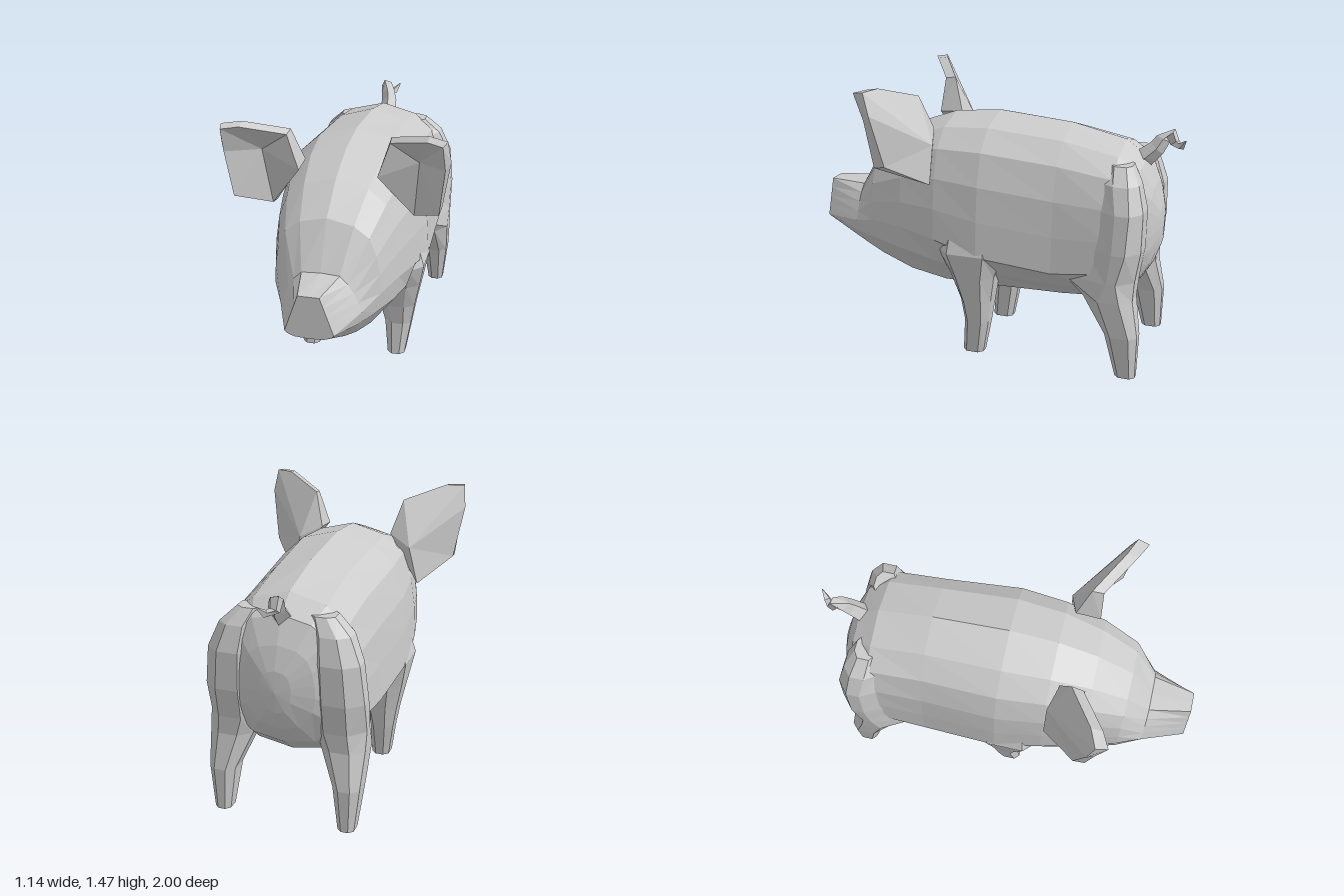
import * as THREE from 'three';

const material = new THREE.MeshStandardMaterial({ color: 0xcccccc, flatShading: true, side: THREE.DoubleSide });

// Skins equal-length rings of [x, y, z] points, closing each end with a fan to a hub point
function loft(name, rings, startHub, endHub) {
  const n = rings[0].length, tris = [];
  const mean = (r) => [0, 1, 2].map((k) => r.reduce((s, p) => s + p[k], 0) / n);
  const first = rings[0], last = rings[rings.length - 1];
  const a = startHub || mean(first), b = endHub || mean(last);
  for (let i = 0; i < n; i++) {
    const j = (i + 1) % n;
    tris.push([a, first[j], first[i]], [b, last[i], last[j]]);
    for (let r = 0; r + 1 < rings.length; r++) {
      const p = rings[r], q = rings[r + 1];
      tris.push([p[i], p[j], q[j]], [p[i], q[j], q[i]]);
    }
  }
  // Turn the faces outward using the signed volume
  const v = (p) => new THREE.Vector3(...p);
  const volume = tris.reduce((s, t) => s + v(t[0]).dot(v(t[1]).cross(v(t[2]))), 0);
  if (volume < 0) tris.forEach((t) => t.reverse());
  const geometry = new THREE.BufferGeometry();
  geometry.setAttribute('position', new THREE.Float32BufferAttribute(tris.flat(2), 3));
  geometry.computeVertexNormals();
  const mesh = new THREE.Mesh(geometry, material);
  mesh.name = name;
  return mesh;
}

// Half outlines for the body and head, stretched to each station along z
const roundHalf = [[0, 1], [0.5, 0.92], [0.78, 0.77], [0.92, 0.53], [0.98, 0.27], [1, 0], [0.92, -0.4], [0.55, -0.87], [0, -1]];
const snoutHalf = [[0, 1], [0.44, 1], [0.58, 0.75], [0.72, 0.5], [0.86, 0.25], [1, 0], [0.9, -0.4], [0.6, -0.85], [0, -1]];
const bellyHalf = [[0, 1], [0.5, 0.92], [0.78, 0.77], [0.92, 0.53], [0.97, 0.27], [1, 0], [0.72, -0.42], [0.38, -0.83], [0, -1]];
// z, top, bottom, height of widest point, half width, blend (positive to snout, negative to belly)
const stations = [
  [1.0, 0.84, 0.615, 0.645, 0.12, 1],
  [0.78, 0.85, 0.49, 0.66, 0.205, 0.6],
  [0.65, 1.08, 0.43, 0.7, 0.27, 0],
  [0.46, 1.21, 0.365, 0.7, 0.325, 0],
  [0.25, 1.285, 0.33, 0.67, 0.37, -0.2],
  [0.0, 1.31, 0.31, 0.61, 0.4, -1],
  [-0.4, 1.275, 0.325, 0.565, 0.375, -1],
  [-0.69, 1.21, 0.37, 0.6, 0.375, -0.4],
  [-0.8, 1.13, 0.46, 0.69, 0.3, 0],
  [-0.86, 1.0, 0.56, 0.75, 0.19, 0],
  [-0.895, 0.88, 0.66, 0.77, 0.08, 0],
];

function bodyRing([z, top, bottom, mid, width, blend]) {
  const target = blend < 0 ? bellyHalf : snoutHalf;
  const half = roundHalf.map(([x, y], i) => {
    const px = THREE.MathUtils.lerp(x, target[i][0], Math.abs(blend));
    const py = THREE.MathUtils.lerp(y, target[i][1], Math.abs(blend));
    return [px * width, mid + py * (py > 0 ? top - mid : mid - bottom), z];
  });
  return [...half, ...half.slice(1, -1).reverse().map(([x, y, d]) => [-x, y, d])];
}

// Leg section: a rectangle with cut corners
function legRing([y, inner, outer, back, front, frontCut = 0.22]) {
  const cx = (outer - inner) * 0.28, depth = front - back;
  const b = back + depth * 0.22, f = front - depth * frontCut;
  return [
    [inner + cx, y, back], [outer - cx, y, back], [outer, y, b], [outer, y, f],
    [outer - cx, y, front], [inner + cx, y, front], [inner, y, f], [inner, y, b],
  ];
}

// y, inner x, outer x, back z, front z, depth of the front corner cut
const frontLeg = [
  [0.01, 0.2, 0.295, 0.005, 0.12],
  [0.2, 0.18, 0.325, -0.03, 0.105],
  [0.32, 0.15, 0.345, -0.045, 0.125],
  [0.47, 0.14, 0.375, -0.07, 0.175],
  [0.61, 0.14, 0.402, -0.12, 0.24],
  [0.75, 0.14, 0.36, -0.1, 0.22],
];
const hindLeg = [
  [0.04, 0.29, 0.375, -0.855, -0.75],
  [0.27, 0.26, 0.4, -0.86, -0.69],
  [0.46, 0.18, 0.41, -0.825, -0.57, 0.35],
  [0.56, 0.14, 0.412, -0.83, -0.46, 0.65],
  [0.72, 0.14, 0.412, -0.855, -0.56, 0.55],
  [0.92, 0.14, 0.39, -0.855, -0.6, 0.5],
  [1.05, 0.14, 0.335, -0.82, -0.62, 0.4],
  [1.13, 0.12, 0.25, -0.77, -0.66],
];

// Ear: front rim and back edge, closed by a sunken cup and a raised back
const earRim = [[0.2, 1.22, 0.43], [0.26, 1.4, 0.42], [0.46, 1.47, 0.55], [0.54, 1.467, 0.59], [0.548, 1.33, 0.535], [0.52, 1.08, 0.5], [0.37, 0.985, 0.33]];
const earBack = [[0.2, 1.23, 0.3], [0.255, 1.41, 0.36], [0.46, 1.48, 0.49], [0.555, 1.475, 0.53], [0.57, 1.36, 0.495], [0.525, 1.09, 0.44], [0.37, 0.97, 0.26]];
const earCup = [0.4, 1.3, 0.39], earHub = [0.32, 1.17, 0.26];

// Tail: a kinked square tube tapering towards its curled tip
function makeTail() {
  const path = new THREE.CatmullRomCurve3([
    [0.005, 1.1, -0.76], [0, 1.18, -0.85], [-0.025, 1.26, -0.9], [-0.025, 1.2, -0.935], [0, 1.19, -0.96], [0.04, 1.235, -0.998],
  ].map((p) => new THREE.Vector3(...p)));
  const steps = 7, sides = 4;
  const geometry = new THREE.TubeGeometry(path, steps, 0.055, sides, false);
  const pos = geometry.attributes.position, p = new THREE.Vector3();
  for (let i = 0; i < pos.count; i++) {
    const t = Math.floor(i / (sides + 1)) / steps, c = path.getPointAt(t);
    p.fromBufferAttribute(pos, i).sub(c).multiplyScalar(t < 1 ? 1 - 0.75 * t : 0.05).add(c);
    pos.setXYZ(i, p.x, p.y, p.z);
  }
  const flat = geometry.toNonIndexed();
  flat.computeVertexNormals();
  const mesh = new THREE.Mesh(flat, material);
  mesh.name = 'tail';
  return mesh;
}

export function createModel() {
  const pig = new THREE.Group();
  pig.name = 'pig';
  pig.add(loft('body', stations.map(bodyRing), null, [0, 0.77, -0.905]), makeTail());

  // Paired parts, mirrored across x
  for (const [side, s] of [['left', 1], ['right', -1]]) {
    const flip = ([x, y, z]) => [s * x, y, z];
    const flipRings = (rings) => rings.map((r) => r.map(flip));
    pig.add(
      loft(side + 'FrontLeg', flipRings(frontLeg.map(legRing))),
      loft(side + 'HindLeg', flipRings(hindLeg.map(legRing))),
      loft(side + 'Ear', flipRings([earRim, earBack]), flip(earCup), flip(earHub)),
    );
  }
  return pig;
}
